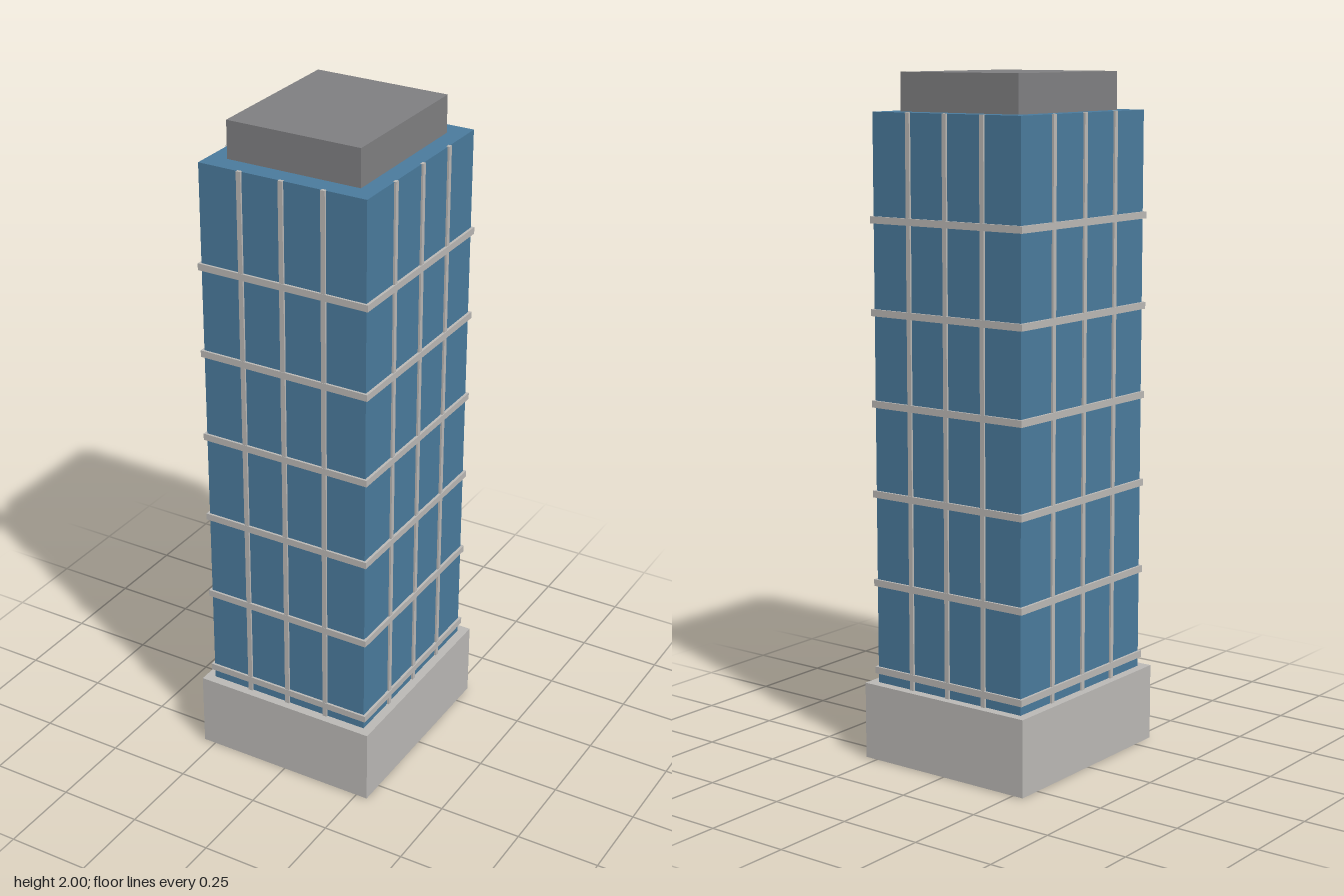
import * as THREE from 'three';

export function createModel() {
  const model = new THREE.Group();
  model.name = 'officeTower';

  const material = (name, color) => Object.assign(new THREE.MeshStandardMaterial({ color }), { name });
  const stone = material('paleStone', 0xbab8b5);
  const glass = material('blueGlass', 0x4a7a9c);
  const roofGrey = material('roofGrey', 0x7f7f81);

  // Box given by its footprint, its bottom and top, and its centre
  function block(name, mat, width, depth, bottom, top, x = 0, z = 0) {
    const mesh = new THREE.Mesh(new THREE.BoxGeometry(width, top - bottom, depth), mat);
    mesh.name = name;
    mesh.position.set(x, (bottom + top) / 2, z);
    model.add(mesh);
  }

  const halfX = 0.259, halfZ = 0.296, roofY = 1.89;

  // Main masses; the glass core shows on the underside
  block('base', stone, 0.574, 0.648, 0.002, 0.23);
  block('glassTower', glass, halfX * 2, halfZ * 2, 0, roofY);
  block('roofPlant', roofGrey, 0.412, 0.472, roofY, 2);

  // Horizontal floor bands wrapping the tower
  for (let i = 0; i < 6; i++) {
    const y = 0.268 + i * 0.264;
    block('floorBand', stone, 0.534, 0.606, y - 0.01, y + 0.01);
  }

  // Vertical mullions, three on each face
  for (const side of [-1, 1]) {
    for (const step of [-1, 0, 1]) {
      block('mullion', stone, 0.014, 0.01, 0.22, roofY + 0.001, step * halfX / 2, side * (halfZ + 0.001));
      block('mullion', stone, 0.01, 0.014, 0.22, roofY + 0.001, side * (halfX + 0.001), step * halfZ / 2);
    }
  }

  return model;
}
